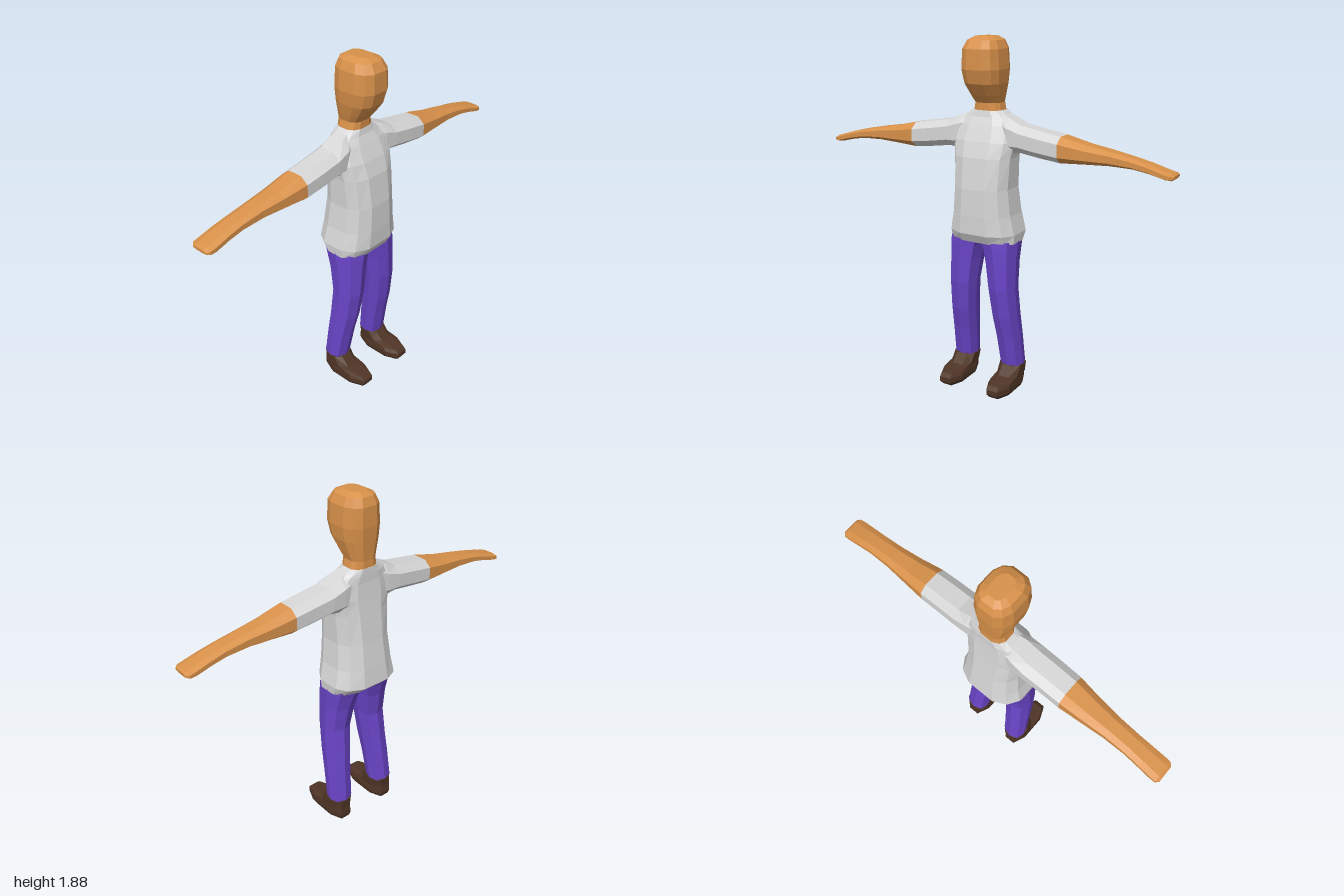
import * as THREE from 'three';

const skin = new THREE.MeshStandardMaterial({ color: 0xd8914a });
skin.name = 'skin';
const cloth = new THREE.MeshStandardMaterial({ color: 0xd6d6d6 });
cloth.name = 'shirt grey';
const denim = new THREE.MeshStandardMaterial({ color: 0x6a45c8 });
denim.name = 'trouser purple';
const leather = new THREE.MeshStandardMaterial({ color: 0x4f3526 });
leather.name = 'shoe brown';

// Unit cross-sections, built from one quadrant and mirrored round
function outline(quadrant) {
  const pts = [];
  for (let q = 0; q < 4; q++) {
    const su = q === 0 || q === 3 ? 1 : -1;
    const sv = q < 2 ? 1 : -1;
    const list = q % 2 ? [...quadrant].reverse() : quadrant;
    for (const [u, v] of list) pts.push([su * u, sv * v]);
  }
  return pts.filter((p, i) => {
    const n = pts[(i + 1) % pts.length];
    return Math.abs(p[0] - n[0]) + Math.abs(p[1] - n[1]) > 1e-6;
  });
}
const BODY = outline([[1, 0.42], [0.78, 0.8], [0.4, 1]]);
const ARM = outline([[1, 0.5], [0.5, 1]]);
const LEG = outline([[1, 0], [0.75, 0.78], [0, 1]]);

// Faceted loft. Each ring is [position, uMin, uMax, vMin, vMax].
// Axis 'y': u = z, v = x.  Axis 'x': u = y, v = z.
function loft(section, rings, axis, mirror = false) {
  const n = section.length;
  const pos = [];
  const index = [];
  const put = (w, u, v) => {
    const p = axis === 'y' ? [v, w, u] : [w, u, v];
    pos.push(mirror ? -p[0] : p[0], p[1], p[2]);
  };
  const tri = (a, b, c) => (mirror ? index.push(a, c, b) : index.push(a, b, c));
  const mid = (r) => [r[0], (r[1] + r[2]) / 2, (r[3] + r[4]) / 2];

  for (const r of rings) {
    const [w, u, v] = mid(r);
    for (const [a, b] of section) {
      put(w, u + (a * (r[2] - r[1])) / 2, v + (b * (r[4] - r[3])) / 2);
    }
  }
  const last = (rings.length - 1) * n;
  put(...mid(rings[0]));
  put(...mid(rings[rings.length - 1]));
  for (let j = 0; j < n; j++) {
    const k = (j + 1) % n;
    for (let i = 0; i < last; i += n) {
      tri(i + j, i + k, i + n + k);
      tri(i + j, i + n + k, i + n + j);
    }
    tri(last + n, k, j);
    tri(last + n + 1, last + j, last + k);
  }
  const g = new THREE.BufferGeometry();
  g.setAttribute('position', new THREE.Float32BufferAttribute(pos, 3));
  g.setIndex(index);
  const flat = g.toNonIndexed();
  flat.computeVertexNormals();
  return flat;
}

export function createModel() {
  const model = new THREE.Group();
  model.name = 'standingFigure';
  const add = (name, geometry, material) => {
    const mesh = new THREE.Mesh(geometry, material);
    mesh.name = name;
    model.add(mesh);
  };
  // Rings symmetric about x: [y, zBack, zFront, halfWidth]
  const symmetric = (rows) => rows.map(([y, b, f, w]) => [y, b, f, -w, w]);

  // Head and neck
  add('head', loft(BODY, symmetric([
    [1.505, -0.117, 0.022, 0.08],
    [1.55, -0.115, 0.022, 0.07],
    [1.59, -0.117, 0.055, 0.082],
    [1.65, -0.121, 0.1, 0.098],
    [1.72, -0.125, 0.121, 0.106],
    [1.82, -0.122, 0.119, 0.099],
    [1.862, -0.105, 0.092, 0.08],
    [1.88, -0.075, 0.055, 0.045],
  ]), 'y'), skin);

  // Shirt body
  add('shirtBody', loft(BODY, symmetric([
    [0.832, -0.135, 0.103, 0.188],
    [0.88, -0.187, 0.13, 0.192],
    [0.98, -0.175, 0.133, 0.17],
    [1.12, -0.155, 0.131, 0.157],
    [1.28, -0.135, 0.11, 0.165],
    [1.36, -0.127, 0.085, 0.178],
    [1.44, -0.12, 0.05, 0.165],
    [1.48, -0.12, 0.03, 0.13],
    [1.512, -0.119, 0.023, 0.082],
  ]), 'y'), cloth);

  for (const [side, mirror] of [['left', false], ['right', true]]) {
    // Sleeve: [x, yMin, yMax, zMin, zMax]
    add(side + 'Sleeve', loft(ARM, [
      [0.08, 1.3, 1.505, -0.108, 0.02],
      [0.14, 1.3, 1.482, -0.115, 0.045],
      [0.21, 1.312, 1.45, -0.118, 0.052],
      [0.32, 1.297, 1.432, -0.113, 0.055],
      [0.43, 1.285, 1.415, -0.11, 0.055],
    ], 'x', mirror), cloth);

    // Bare forearm tapering into a flat hand
    add(side + 'Forearm', loft(ARM, [
      [0.43, 1.285, 1.415, -0.11, 0.055],
      [0.56, 1.291, 1.385, -0.099, 0.04],
      [0.68, 1.296, 1.366, -0.089, 0.029],
      [0.8, 1.293, 1.343, -0.086, 0.026],
      [0.88, 1.28, 1.324, -0.089, 0.028],
      [0.955, 1.262, 1.302, -0.091, 0.031],
      [0.985, 1.26, 1.294, -0.09, 0.029],
      [1.0, 1.268, 1.284, -0.075, 0.015],
    ], 'x', mirror), skin);

    // Trouser leg: [y, zBack, zFront, xInner, xOuter]
    add(side + 'TrouserLeg', loft(LEG, [
      [0.125, -0.115, 0.012, 0.083, 0.21],
      [0.3, -0.097, 0.045, 0.072, 0.203],
      [0.42, -0.084, 0.075, 0.062, 0.196],
      [0.58, -0.07, 0.097, 0.047, 0.19],
      [0.72, -0.093, 0.1, 0.028, 0.188],
      [0.8, -0.118, 0.102, 0.01, 0.189],
      [0.845, -0.135, 0.102, -0.01, 0.189],
    ], 'y', mirror), denim);

    // Shoe, from sole up to ankle
    add(side + 'Shoe', loft(ARM, [
      [0, -0.108, 0.165, 0.095, 0.202],
      [0.022, -0.115, 0.187, 0.084, 0.213],
      [0.05, -0.114, 0.187, 0.084, 0.213],
      [0.068, -0.112, 0.165, 0.088, 0.211],
      [0.08, -0.112, 0.06, 0.086, 0.211],
      [0.128, -0.115, 0.013, 0.083, 0.21],
    ], 'y', mirror), leather);
  }
  return model;
}
